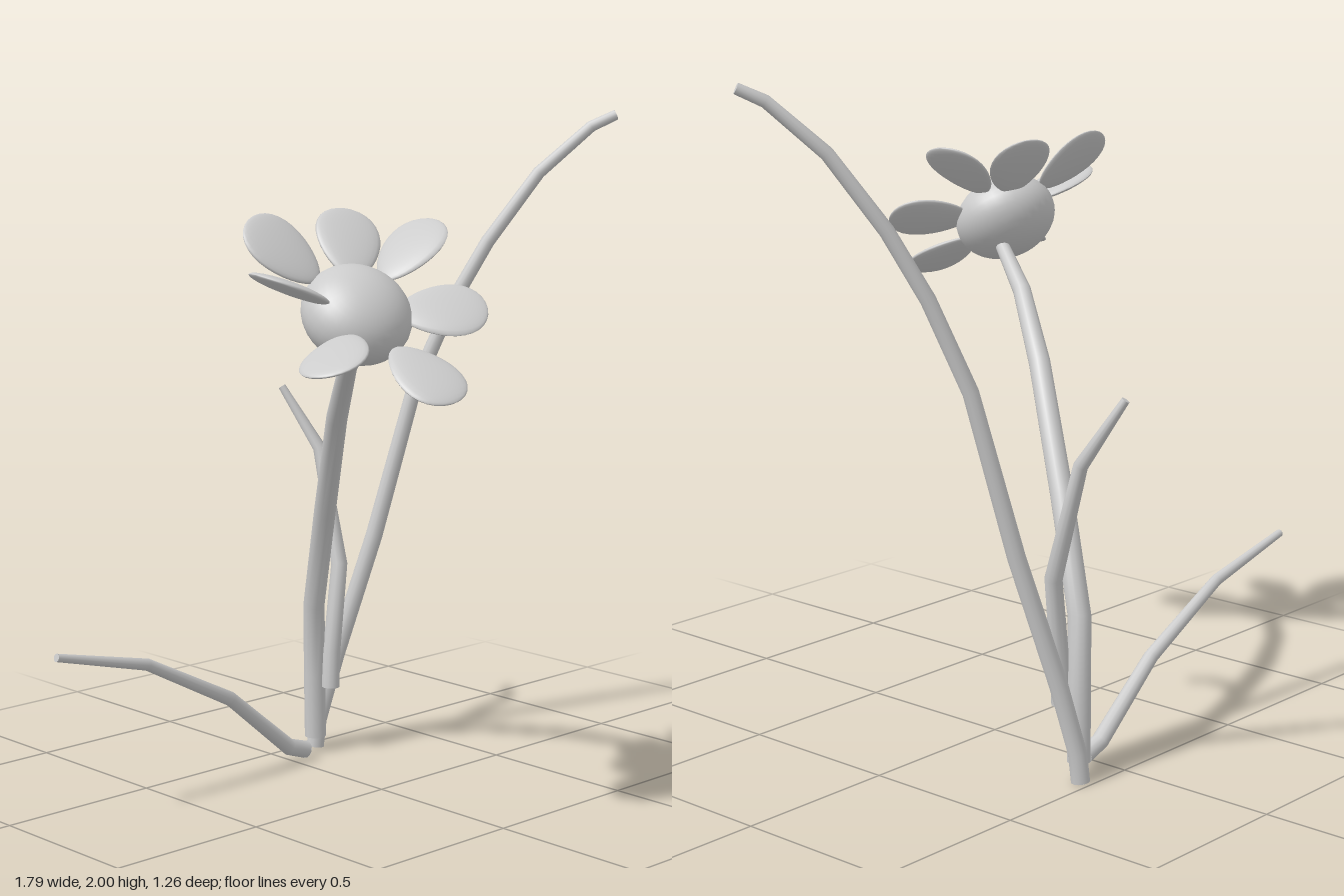
import * as THREE from 'three';

const material = new THREE.MeshStandardMaterial({ color: 0xcccccc, side: THREE.DoubleSide });
const V = (x, y, z) => new THREE.Vector3(x, y, z);

// Path that visits its joints exactly, so each tube ring sits on a joint
class JointPath extends THREE.Curve {
  constructor(joints) {
    super();
    this.joints = joints;
    this.last = joints.length - 1;
  }
  getPointAt(u) {
    return this.joints[Math.round(u * this.last)].clone();
  }
  getTangentAt(u) {
    const i = Math.round(u * this.last);
    const a = this.joints[Math.max(i - 1, 0)], b = this.joints[i], c = this.joints[Math.min(i + 1, this.last)];
    const before = b.clone().sub(a).normalize(), after = c.clone().sub(b).normalize();
    return before.add(after).normalize();
  }
}

// Tapered, closed stalk; each row is x, y, z, radius
function stalk(name, rows) {
  const sides = 12;
  const joints = rows.map(([x, y, z]) => V(x, y, z));
  const path = new JointPath(joints);
  const geometry = new THREE.TubeGeometry(path, path.last, 1, sides, false);
  const pos = geometry.attributes.position, p = V(0, 0, 0);
  for (let i = 0; i < pos.count; i++) {
    const ring = Math.floor(i / (sides + 1));
    p.fromBufferAttribute(pos, i).sub(joints[ring]).multiplyScalar(rows[ring][3]).add(joints[ring]);
    pos.setXYZ(i, p.x, p.y, p.z);
  }
  const group = new THREE.Group();
  group.name = name;
  group.add(new THREE.Mesh(geometry, material));
  for (const end of [0, 1]) {
    const cap = new THREE.Mesh(new THREE.CircleGeometry(rows[end * path.last][3], sides), material);
    cap.position.copy(path.getPointAt(end));
    cap.quaternion.setFromUnitVectors(V(0, 0, 1), path.getTangentAt(end).multiplyScalar(end ? 1 : -1));
    cap.name = name + 'End';
    group.add(cap);
  }
  return group;
}

// Egg-shaped petal: length along y, width along x, thin along z
function petalGeometry() {
  const geometry = new THREE.SphereGeometry(1, 24, 16);
  const pos = geometry.attributes.position;
  for (let i = 0; i < pos.count; i++) {
    const x = pos.getX(i), y = pos.getY(i);
    pos.setXYZ(i, x * (0.092 + 0.022 * y), y * 0.125, pos.getZ(i) * 0.018);
  }
  geometry.computeVertexNormals();
  return geometry;
}

function flowerHead() {
  const head = new THREE.Group();
  head.name = 'flowerHead';
  head.position.set(-0.365, 1.49, 0.28);
  const facing = V(-0.2, 0.74, 0.64).normalize();

  const centre = new THREE.Mesh(new THREE.SphereGeometry(1, 32, 20), material);
  centre.name = 'flowerCentre';
  centre.scale.set(0.155, 0.115, 0.155);
  centre.quaternion.setFromUnitVectors(V(0, 1, 0), facing);
  head.add(centre);

  // Petal tips relative to the centre, some with their own width direction
  const petals = [
    { tip: V(0.305, 0.24, -0.01), across: V(-0.1, 0.1, -1) },
    { tip: V(0.295, 0.01, 0.21) },
    { tip: V(0.03, -0.205, 0.35) },
    { tip: V(-0.3, -0.12, 0.2), across: V(0.55, 0.2, 0.8) },
    { tip: V(-0.335, 0.13, -0.03), across: V(0, -0.1, 1) },
    { tip: V(-0.195, 0.255, -0.22) },
    { tip: V(0.165, 0.265, -0.22) },
  ];
  const geometry = petalGeometry();
  for (const { tip, across } of petals) {
    const along = tip.clone().normalize();
    const width = across ? across.clone() : facing.clone().cross(along);
    width.addScaledVector(along, -width.dot(along)).normalize();
    const petal = new THREE.Mesh(geometry, material);
    petal.name = 'petal';
    petal.position.copy(tip).addScaledVector(along, -0.125);
    petal.quaternion.setFromRotationMatrix(
      new THREE.Matrix4().makeBasis(width, along, width.clone().cross(along)));
    head.add(petal);
  }
  return head;
}

export function createModel() {
  const model = new THREE.Group();
  model.name = 'flower';
  model.add(
    stalk('flowerStem', [
      [0.13, 0.05, -0.435, 0.034], [0.125, 0.25, -0.432, 0.034], [0.113, 0.48, -0.42, 0.034],
      [0.04, 0.8, -0.29, 0.034], [-0.095, 1.13, -0.09, 0.032], [-0.2, 1.31, 0.07, 0.027],
      [-0.3, 1.42, 0.24, 0.021],
    ]),
    stalk('tallStem', [
      [0.157, 0.005, -0.465, 0.028], [0.165, 0.09, -0.46, 0.028], [0.21, 0.3, -0.425, 0.028],
      [0.31, 0.68, -0.355, 0.027], [0.405, 1.15, -0.272, 0.024], [0.495, 1.41, -0.2, 0.023],
      [0.58, 1.6, -0.13, 0.022], [0.7, 1.81, -0.03, 0.02], [0.82, 1.95, 0.075, 0.018],
      [0.88, 1.985, 0.122, 0.016],
    ]),
    stalk('shortStem', [
      [0.148, 0.215, -0.383, 0.028], [0.155, 0.33, -0.385, 0.028], [0.198, 0.6, -0.395, 0.026],
      [0.222, 0.95, -0.51, 0.021], [0.16, 1.14, -0.615, 0.012],
    ]),
    stalk('lowStem', [
      [0.045, 0.032, -0.387, 0.027], [-0.025, 0.055, -0.387, 0.026], [-0.26, 0.255, -0.388, 0.022],
      [-0.575, 0.42, -0.39, 0.018], [-0.9, 0.5, -0.392, 0.012],
    ]),
    flowerHead(),
  );
  return model;
}
